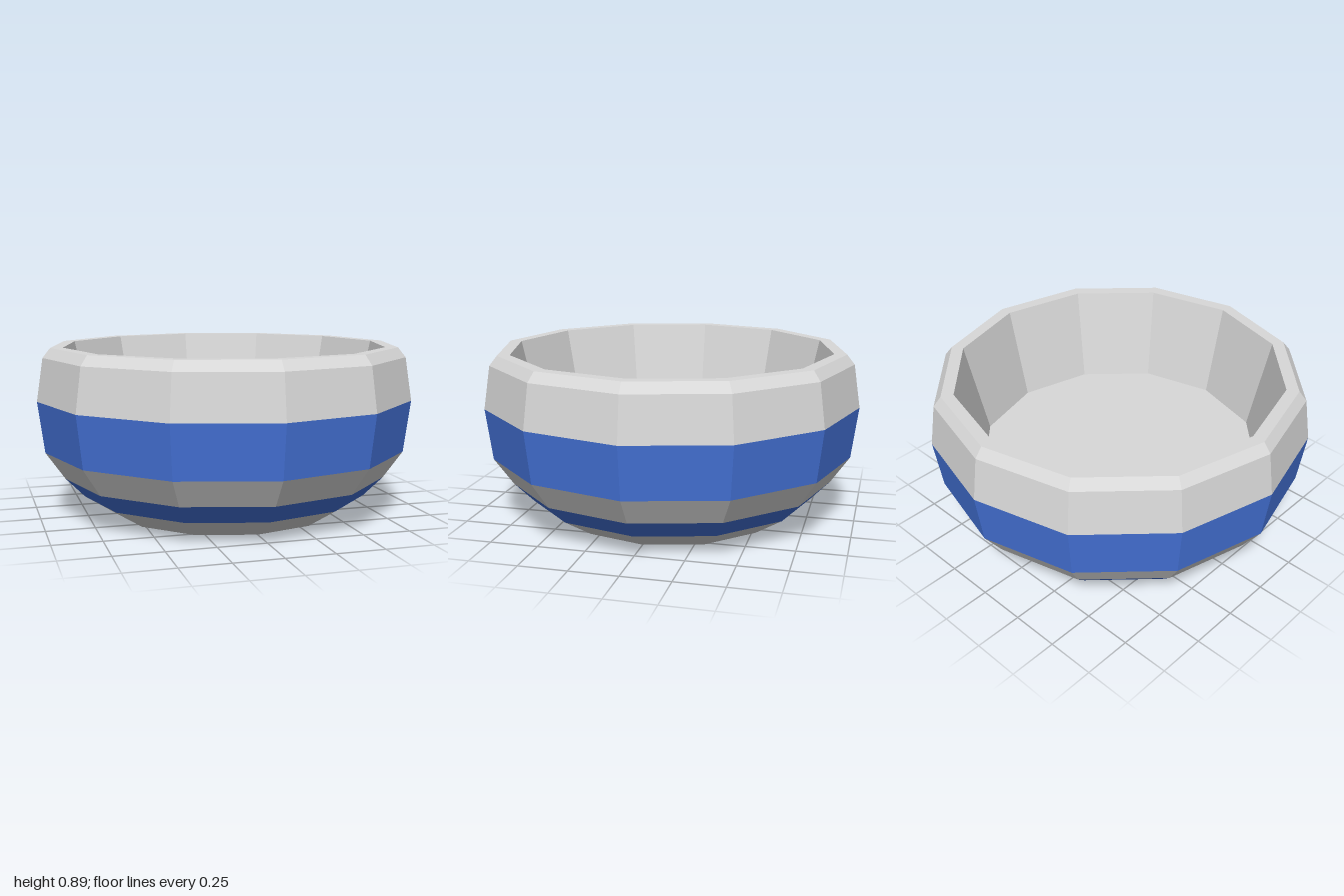
import * as THREE from 'three';

const SIDES = 12;

export function createModel() {
  const bowl = new THREE.Group();
  bowl.name = 'bowl';

  const grey = new THREE.MeshStandardMaterial({ color: 0xd8d8d8 });
  grey.name = 'pale grey';
  const blue = new THREE.MeshStandardMaterial({ color: 0x4573d9 });
  blue.name = 'blue';

  function add(name, geometry, material) {
    const mesh = new THREE.Mesh(geometry, material);
    mesh.name = name;
    bowl.add(mesh);
    return mesh;
  }

  // Faceted ring following [radius, height] points, outside going up
  function ring(name, points, material) {
    const lathe = new THREE.LatheGeometry(points.map(([r, y]) => new THREE.Vector2(r, y)), SIDES);
    const geometry = lathe.toNonIndexed();
    geometry.computeVertexNormals();
    return add(name, geometry, material);
  }

  // Flat twelve-sided disc, facing up or down
  function disc(name, radius, y, up) {
    const geometry = new THREE.CircleGeometry(radius, SIDES);
    geometry.rotateX(up ? -Math.PI / 2 : Math.PI / 2);
    geometry.translate(0, y, 0);
    return add(name, geometry, grey);
  }

  // Outer wall, from the foot to the widest line
  ring('footBand', [[0.6, 0], [0.765, 0.105]], grey);
  ring('lowerStripe', [[0.765, 0.105], [0.865, 0.207]], blue);
  ring('middleBand', [[0.865, 0.207], [0.965, 0.35]], grey);
  ring('upperStripe', [[0.965, 0.35], [1, 0.62]], blue);

  // Upper wall, bevelled rim and inside wall
  ring('upperWallAndRim', [[1, 0.62], [0.965, 0.845], [0.925, 0.895], [0.86, 0.895], [0.75, 0.4]], grey);

  // Underside and inside floor
  disc('underside', 0.6, 0, false);
  disc('insideFloor', 0.75, 0.4, true);

  return bowl;
}
